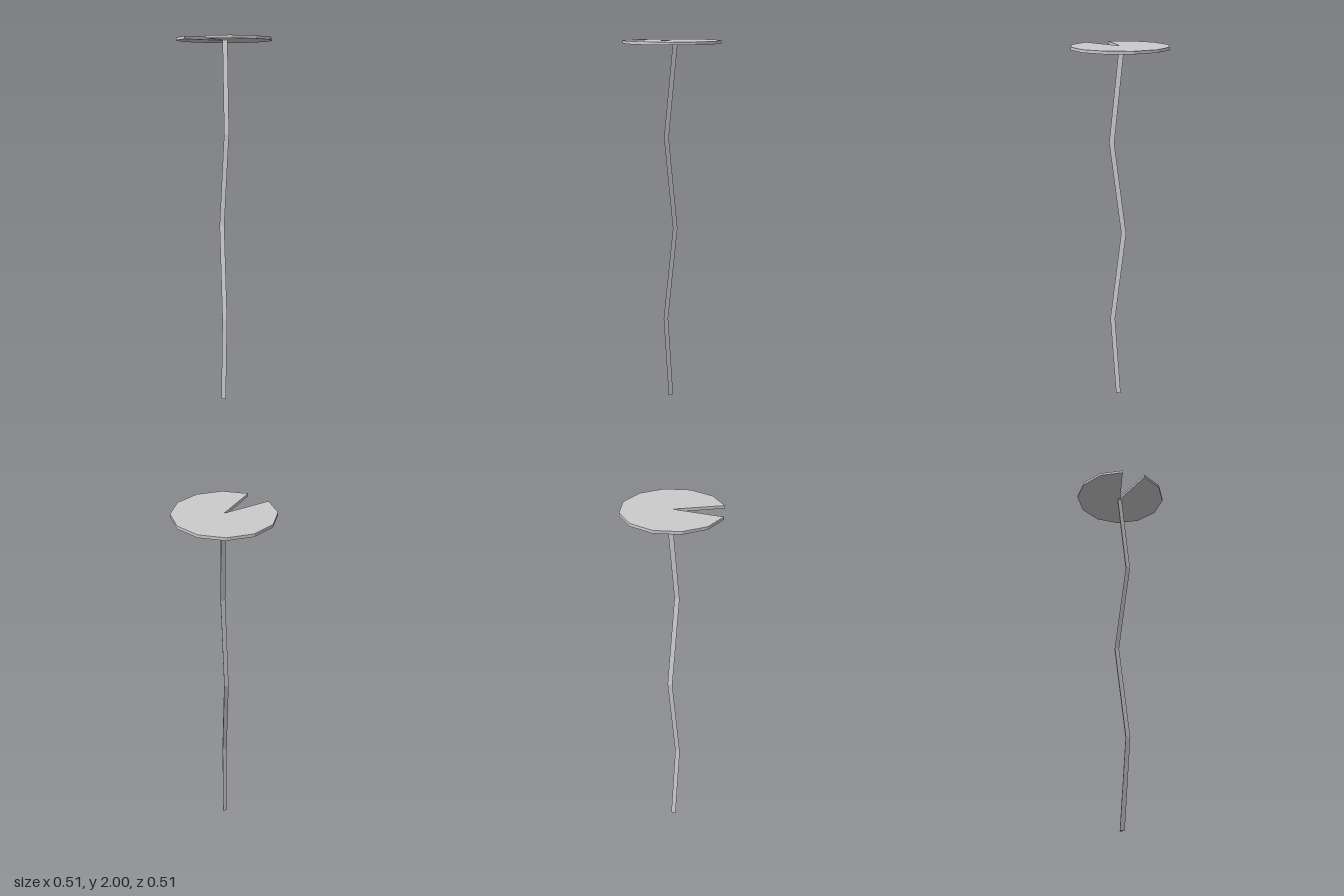
import * as THREE from 'three';

const material = new THREE.MeshStandardMaterial({ color: 0xcccccc, flatShading: true });

// Twelve-sided pad with one wedge left out at the front
function makePad(radius, thickness) {
  const shape = new THREE.Shape();
  shape.moveTo(0, 0);
  for (let i = 0; i <= 11; i++) {
    const a = (i * Math.PI) / 6;
    shape.lineTo(radius * Math.sin(a), radius * Math.cos(a));
  }
  shape.closePath();
  const geometry = new THREE.ExtrudeGeometry(shape, { depth: thickness, bevelEnabled: false });
  geometry.rotateX(Math.PI / 2);
  return geometry;
}

// Three-sided stem that zigzags through its joints
function makeStem(joints, halfWidth, halfDepth) {
  const positions = [];
  const index = [];
  joints.forEach(([x, y, z], i) => {
    positions.push(x - halfWidth, y, z + halfDepth);
    positions.push(x + halfWidth, y, z + halfDepth);
    positions.push(x, y, z - halfDepth);
    if (i === 0) return;
    for (let k = 0; k < 3; k++) {
      const n = (k + 1) % 3;
      const low = (i - 1) * 3;
      const high = i * 3;
      index.push(low + k, low + n, high + n, low + k, high + n, high + k);
    }
  });
  const top = (joints.length - 1) * 3;
  index.push(0, 2, 1, top, top + 1, top + 2); // end caps
  const indexed = new THREE.BufferGeometry();
  indexed.setAttribute('position', new THREE.Float32BufferAttribute(positions, 3));
  indexed.setIndex(index);
  const geometry = indexed.toNonIndexed();
  geometry.computeVertexNormals();
  return geometry;
}

export function createModel() {
  const group = new THREE.Group();
  group.name = 'lilyPad';

  const pad = new THREE.Mesh(makePad(0.255, 0.015), material);
  pad.name = 'pad';
  pad.position.y = 2;
  group.add(pad);

  const joints = [
    [0.002, 0, 0.005],
    [0.02, 0.48, 0.032],
    [-0.017, 0.995, -0.018],
    [0.028, 1.5, 0.027],
    [0.001, 1.986, -0.018],
  ];
  const stem = new THREE.Mesh(makeStem(joints, 0.014, 0.012), material);
  stem.name = 'stem';
  group.add(stem);

  return group;
}
